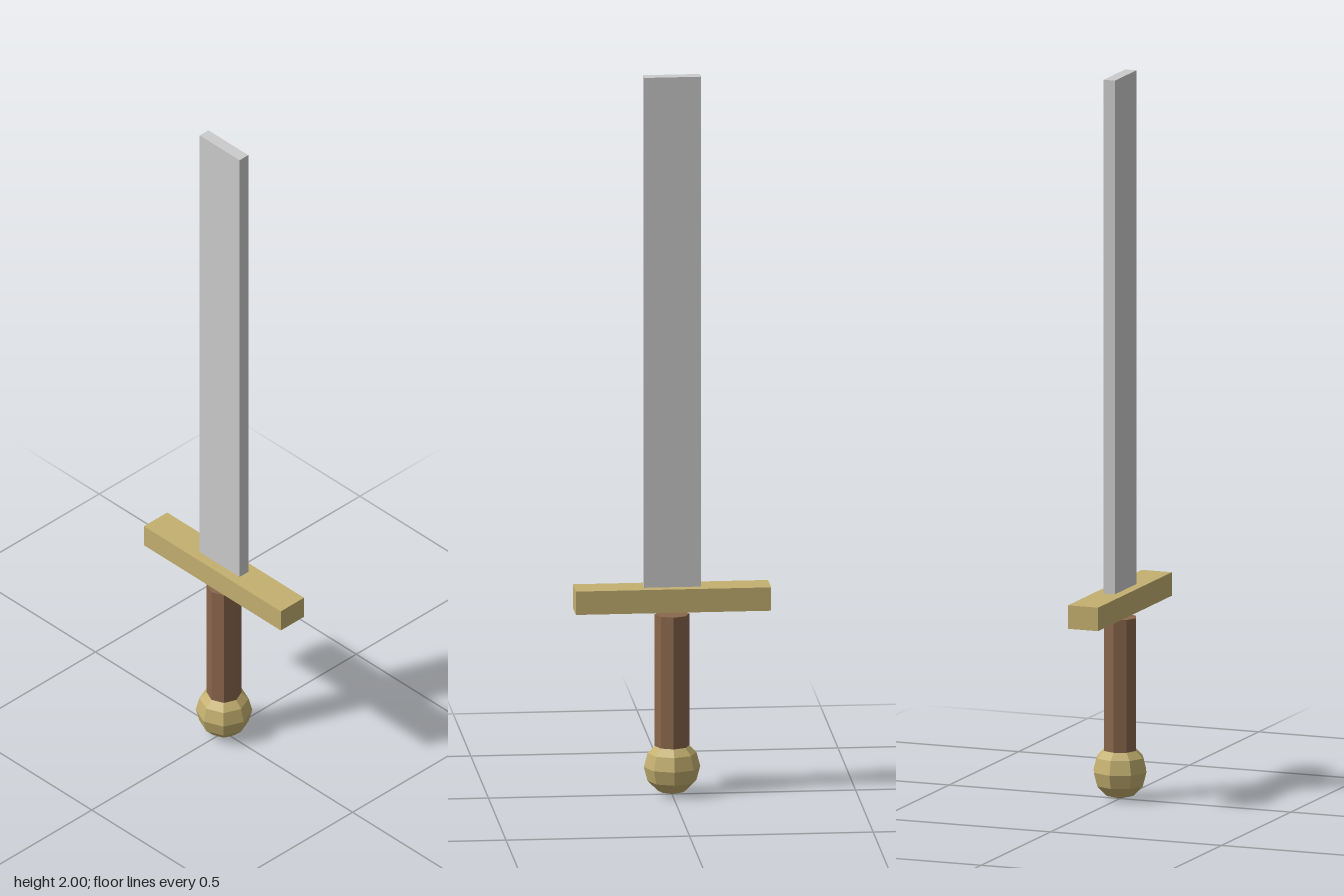
import * as THREE from 'three';

const material = (color) => new THREE.MeshStandardMaterial({ color, flatShading: true });

export function createModel() {
  const sword = new THREE.Group();
  sword.name = 'sword';
  const steel = material(0xcccccc);
  const gold = material(0xc4b070);
  const leather = material(0x8a674c);

  const add = (name, geometry, mat, y) => {
    const mesh = new THREE.Mesh(geometry, mat);
    mesh.name = name;
    mesh.position.y = y;
    sword.add(mesh);
  };

  // Flat, square-ended blade standing on the guard
  add('blade', new THREE.BoxGeometry(0.155, 1.42, 0.033), steel, 1.29);

  // Crossguard, with a thin gap above the grip
  add('crossguard', new THREE.BoxGeometry(0.532, 0.065, 0.088), gold, 0.5475);

  // Eight-sided grip, its lower end sunk into the pommel
  add('grip', new THREE.CylinderGeometry(0.047, 0.047, 0.38, 8), leather, 0.312);

  // Faceted ball pommel
  add('pommel', new THREE.SphereGeometry(0.077, 8, 6), gold, 0.077);

  return sword;
}
